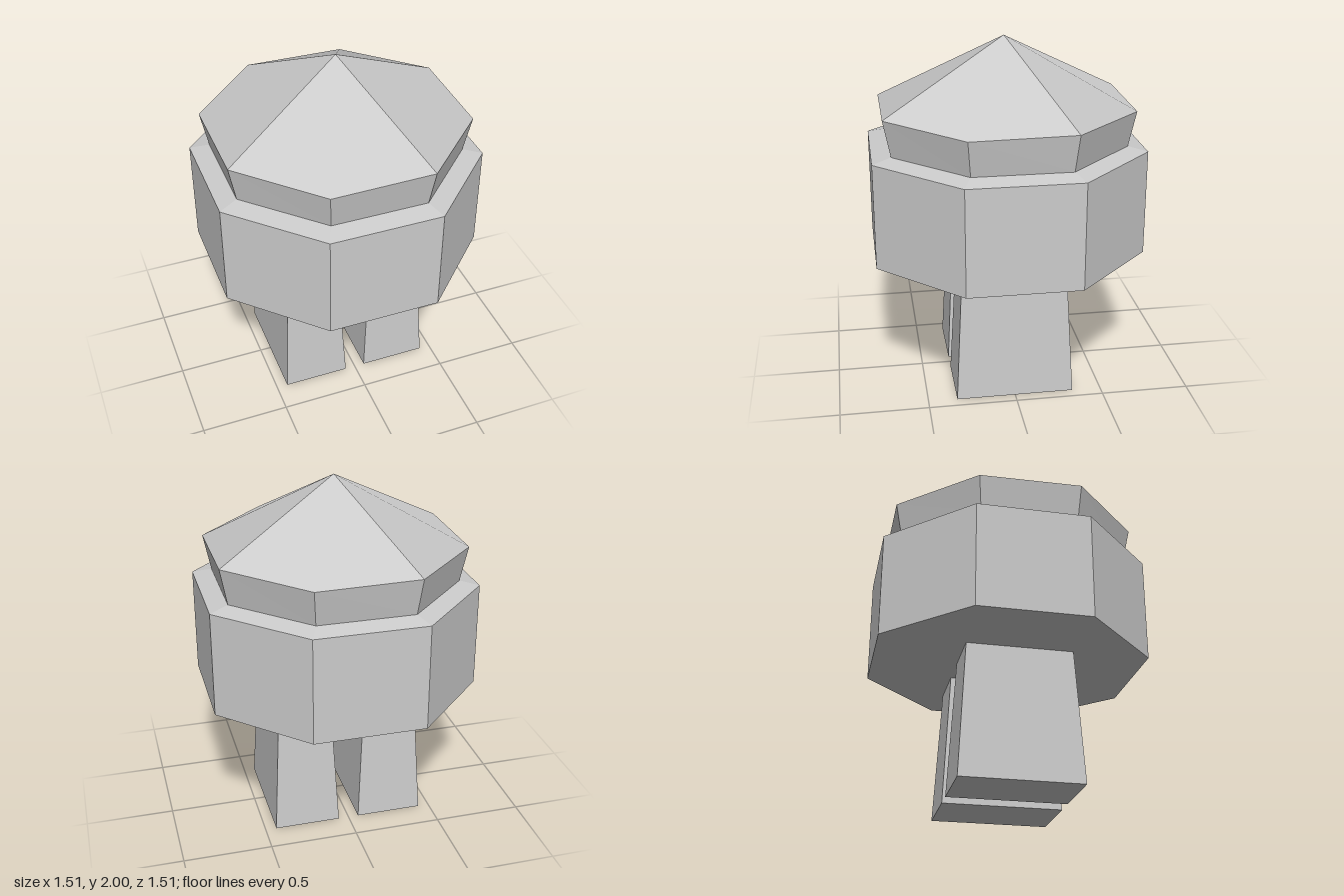
import * as THREE from 'three';

const grey = () => new THREE.MeshStandardMaterial({ color: 0xcccccc });

// Eight corners, with flat sides facing the axes; wave lifts every other corner
function octagon(apothem, y, wave = 0) {
  const r = apothem / Math.cos(Math.PI / 8);
  return Array.from({ length: 8 }, (_, k) => {
    const a = Math.PI / 8 + k * Math.PI / 4;
    return new THREE.Vector3(r * Math.cos(a), y + (k % 2 ? wave : -wave), r * Math.sin(a));
  });
}

// Skin between matching rings, listed from low to high, with hard facets
function loft(name, rings) {
  const pos = [];
  const tri = (...p) => {
    if (new THREE.Triangle(...p).getArea() > 1e-6) p.forEach(v => pos.push(v.x, v.y, v.z));
  };
  for (let j = 0; j + 1 < rings.length; j++) {
    const low = rings[j], high = rings[j + 1];
    for (let i = 0; i < 8; i++) {
      const n = (i + 1) % 8;
      tri(low[i], high[i], high[n]);
      tri(low[i], high[n], low[n]);
    }
  }
  const geo = new THREE.BufferGeometry();
  geo.setAttribute('position', new THREE.Float32BufferAttribute(pos, 3));
  geo.computeVertexNormals();
  const mesh = new THREE.Mesh(geo, grey());
  mesh.name = name;
  return mesh;
}

// Roof of four folded panels, each panel shaded as one face
function makeRoof(eave, peak) {
  const pos = [], nor = [];
  for (let k = 1; k < 8; k += 2) {
    const [a, b, c] = [0, 1, 2].map(i => eave[(k + i) % 8]);
    const n = new THREE.Vector3().crossVectors(c.clone().sub(a), peak.clone().sub(b)).normalize();
    if (n.y < 0) n.negate();
    for (const p of [a, peak, b, b, peak, c]) {
      pos.push(p.x, p.y, p.z);
      nor.push(n.x, n.y, n.z);
    }
  }
  const geo = new THREE.BufferGeometry();
  geo.setAttribute('position', new THREE.Float32BufferAttribute(pos, 3));
  geo.setAttribute('normal', new THREE.Float32BufferAttribute(nor, 3));
  const mesh = new THREE.Mesh(geo, grey());
  mesh.name = 'roof';
  return mesh;
}

// Block leg that widens towards the ground
function makeLeg(side) {
  const height = 0.75;
  const geo = new THREE.BoxGeometry(0.3, height, 0.59);
  const p = geo.attributes.position;
  for (let i = 0; i < p.count; i++) {
    if (p.getY(i) < 0) {
      p.setX(i, p.getX(i) * 0.378 / 0.3);
      p.setZ(i, p.getZ(i) * 0.67 / 0.59);
    }
  }
  geo.computeVertexNormals();
  const leg = new THREE.Mesh(geo, grey());
  leg.position.set(side * 0.248, height / 2, 0);
  leg.name = side > 0 ? 'leftLeg' : 'rightLeg';
  return leg;
}

export function createModel() {
  const model = new THREE.Group();
  model.name = 'figure';

  // Underside narrows from the octagon to a rectangle around the legs
  const bodyLow = octagon(0.755, 0.793);
  const hips = bodyLow.map(v => new THREE.Vector3(Math.sign(v.x) * 0.398, 0.75, Math.sign(v.z) * 0.295));
  const centre = hips.map(() => new THREE.Vector3(0, 0.75, 0));
  const neck = octagon(0.65, 1.417);
  const eave = octagon(0.69, 1.621, 0.004);

  model.add(loft('body', [centre, hips, bodyLow, octagon(0.755, 1.393), neck]));
  model.add(loft('headBand', [neck, eave]));
  model.add(makeRoof(eave, new THREE.Vector3(0, 2, 0)));
  for (const side of [1, -1]) model.add(makeLeg(side));
  return model;
}
